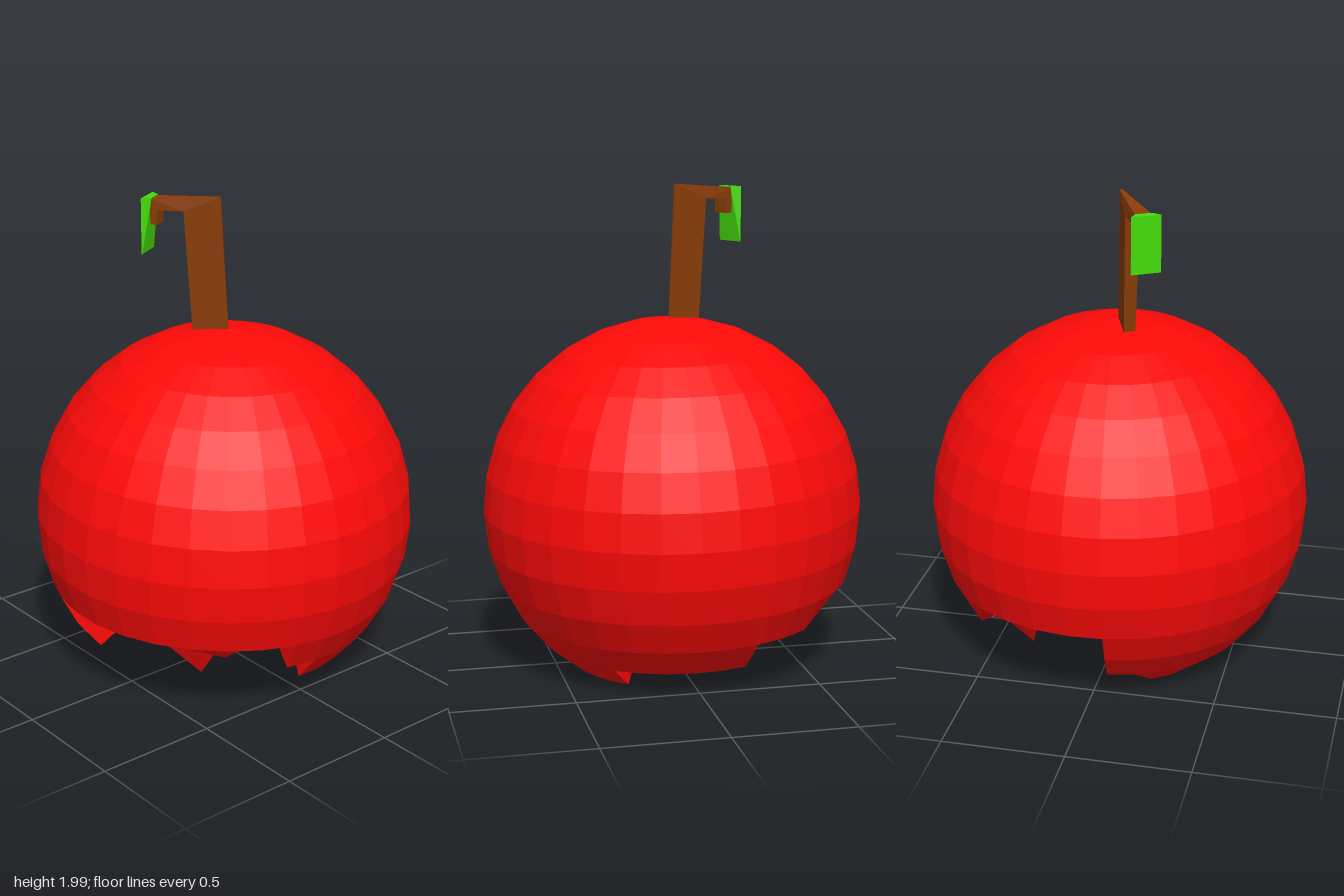
import * as THREE from 'three';

const RADIUS = 0.786, CENTRE = 0.67;
const STEP = Math.PI / 16;

// Broken edge: how many bands below the equator each column reaches.
// A pair makes a vertical step in the edge.
const RIM = [2, 2, 2, 2, 2, 2, [2, 3], [3, 4], 4, 5, 5, 5, [5, 4], 4, 4, 4,
  4, [4, 3], 3, 3, 2, 2, 2, 2, [2, 4], 4, 5, 5, 4, 4, [4, 2], 2];

const jitter = (n) => {
  const s = Math.sin(n * 127.1 + 11.7) * 43758.5453;
  return (s - Math.floor(s)) * 2 - 1;
};

// Profile of one column as [radius, height] from the top pole, over the rim, to the middle of the ceiling
function columnProfile(k, level) {
  const points = [];
  for (let row = 0; row <= 13; row++) {
    const lat = (8 - Math.min(row, 8 + level)) * STEP;
    points.push([RADIUS * Math.cos(lat), RADIUS * Math.sin(lat)]);
  }
  const [r, y] = points[13];
  const a = jitter(k), b = jitter(k + 50), c = jitter(k + 90);
  if (level === 2) {
    // spalled notch: undercut sloping inward, with one hanging tooth on each side
    const tooth = k % 17 === 3;
    points.push([0.62 + 0.04 * a, y - 0.04 + 0.03 * b]);
    points.push([tooth ? 0.47 : 0.54 + 0.03 * b, tooth ? -0.54 : -0.38 + 0.03 * c]);
    points.push([0.48 + 0.02 * a, -0.29 + 0.02 * b]);
  } else {
    // wall leaning in as it rises
    points.push([r - 0.05 + 0.02 * a, y + 0.05 + 0.03 * b]);
    points.push([Math.min(r, 0.56) - 0.07 + 0.03 * c, y + 0.14 + 0.04 * a]);
    points.push([0.43 + 0.02 * a, -0.3 + 0.03 * b]);
  }
  // broken ceiling that closes the hollow
  points.push([0.25, -0.28], [0, -0.27]);
  return points;
}

function shellGeometry() {
  const columns = RIM.flatMap((entry, k) => [entry].flat().map((level) => {
    const az = (k + 0.6) * STEP;
    return columnProfile(k, level).map(([r, y]) =>
      new THREE.Vector3(r * Math.sin(az), y, r * Math.cos(az)));
  }));
  const positions = [];
  const triangle = (...corners) => {
    const area = new THREE.Triangle(...corners).getArea();
    if (area > 1e-6) corners.forEach((p) => positions.push(p.x, p.y, p.z));
  };
  columns.forEach((left, i) => {
    const right = columns[(i + 1) % columns.length];
    for (let row = 0; row < left.length - 1; row++) {
      triangle(left[row], left[row + 1], right[row + 1]);
      triangle(left[row], right[row + 1], right[row]);
    }
  });
  const geometry = new THREE.BufferGeometry();
  geometry.setAttribute('position', new THREE.Float32BufferAttribute(positions, 3));
  geometry.computeVertexNormals();
  return geometry;
}

// Move every vertex by a rule, then refresh the normals
function reshape(geometry, rule) {
  const flat = geometry.index ? geometry.toNonIndexed() : geometry;
  const pos = flat.attributes.position;
  const v = new THREE.Vector3();
  for (let i = 0; i < pos.count; i++) {
    rule(v.fromBufferAttribute(pos, i));
    pos.setXYZ(i, v.x, v.y, v.z);
  }
  flat.computeVertexNormals();
  return flat;
}

// Bent stalk, tapering to a knife edge on the side away from the leaf
function stemGeometry() {
  const outline = new THREE.Shape([
    [-0.02, 1.43], [0.128, 1.43], [0.163, 1.935], [0.275, 1.93],
    [0.275, 1.87], [0.305, 1.87], [0.305, 1.975], [0.015, 2.0],
  ].map(([x, y]) => new THREE.Vector2(x, y)));
  const solid = new THREE.ExtrudeGeometry(outline, { depth: 1, bevelEnabled: false });
  return reshape(solid, (v) => {
    const width = THREE.MathUtils.clamp((v.x + 0.02) * 0.33, 0.002, 0.068);
    v.z = (v.z - 0.5) * width;
  });
}

// Hanging leaf: narrow inner face on top, closing to a thin edge below
function leafGeometry() {
  return reshape(new THREE.BoxGeometry(0.035, 0.23, 0.122), (v) => {
    if (v.x < 0) {
      if (v.y > 0) v.z *= 0.55;
      else v.x = 0.015;
    }
  });
}

export function createModel() {
  const model = new THREE.Group();
  const add = (name, geometry, color, parent) => {
    const material = new THREE.MeshStandardMaterial({ color, flatShading: true });
    const mesh = new THREE.Mesh(geometry, material);
    mesh.name = name;
    parent.add(mesh);
    return mesh;
  };

  // Hollow broken fruit, leaning slightly
  const shell = add('fruitShell', shellGeometry(), 0xff0a08, model);
  shell.position.y = CENTRE;
  shell.rotation.set(-0.01, 0, -0.02);

  // Stem and leaf share one heading
  const stalk = new THREE.Group();
  stalk.name = 'stalk';
  stalk.rotation.y = Math.PI + 0.52;
  model.add(stalk);
  add('stem', stemGeometry(), 0x8a3c08, stalk);
  const leaf = add('leaf', leafGeometry(), 0x44dd08, stalk);
  leaf.position.set(0.316, 1.865, 0);

  return model;
}
